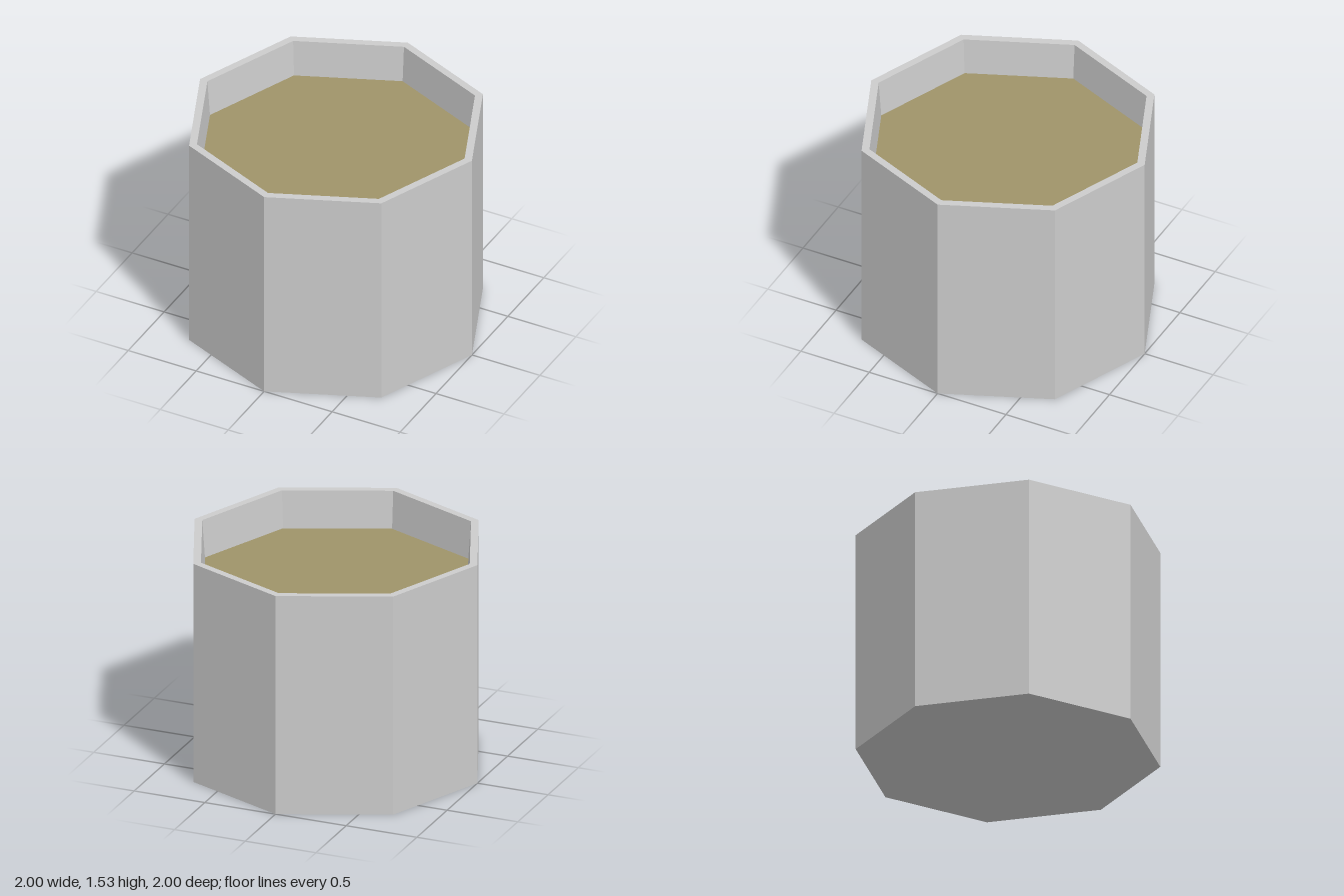
import * as THREE from 'three';

const SIDES = 8;
const HEIGHT = 1.535;
const FILL_Y = 1.275;

export function createModel() {
  const group = new THREE.Group();
  group.name = 'planter';

  const wallGrey = new THREE.MeshStandardMaterial({ color: 0xcccccc, flatShading: true });
  wallGrey.name = 'wall grey';
  const fillOlive = new THREE.MeshStandardMaterial({ color: 0x9f9469, flatShading: true });
  fillOlive.name = 'fill olive';

  // Octagonal pot: closed base, straight outer wall, flat rim, tapering inner wall
  const profile = [
    [0, 0], [1, 0], [1, HEIGHT], [0.946, HEIGHT], [0.927, FILL_Y],
  ].map(([r, y]) => new THREE.Vector2(r, y));
  const pot = new THREE.Mesh(new THREE.LatheGeometry(profile, SIDES), wallGrey);
  pot.name = 'pot';
  group.add(pot);

  // Flat filling that closes the pot below the rim
  const fill = new THREE.Mesh(new THREE.CircleGeometry(0.927, SIDES), fillOlive);
  fill.name = 'filling';
  fill.rotation.x = -Math.PI / 2;
  fill.position.y = FILL_Y;
  group.add(fill);

  return group;
}
